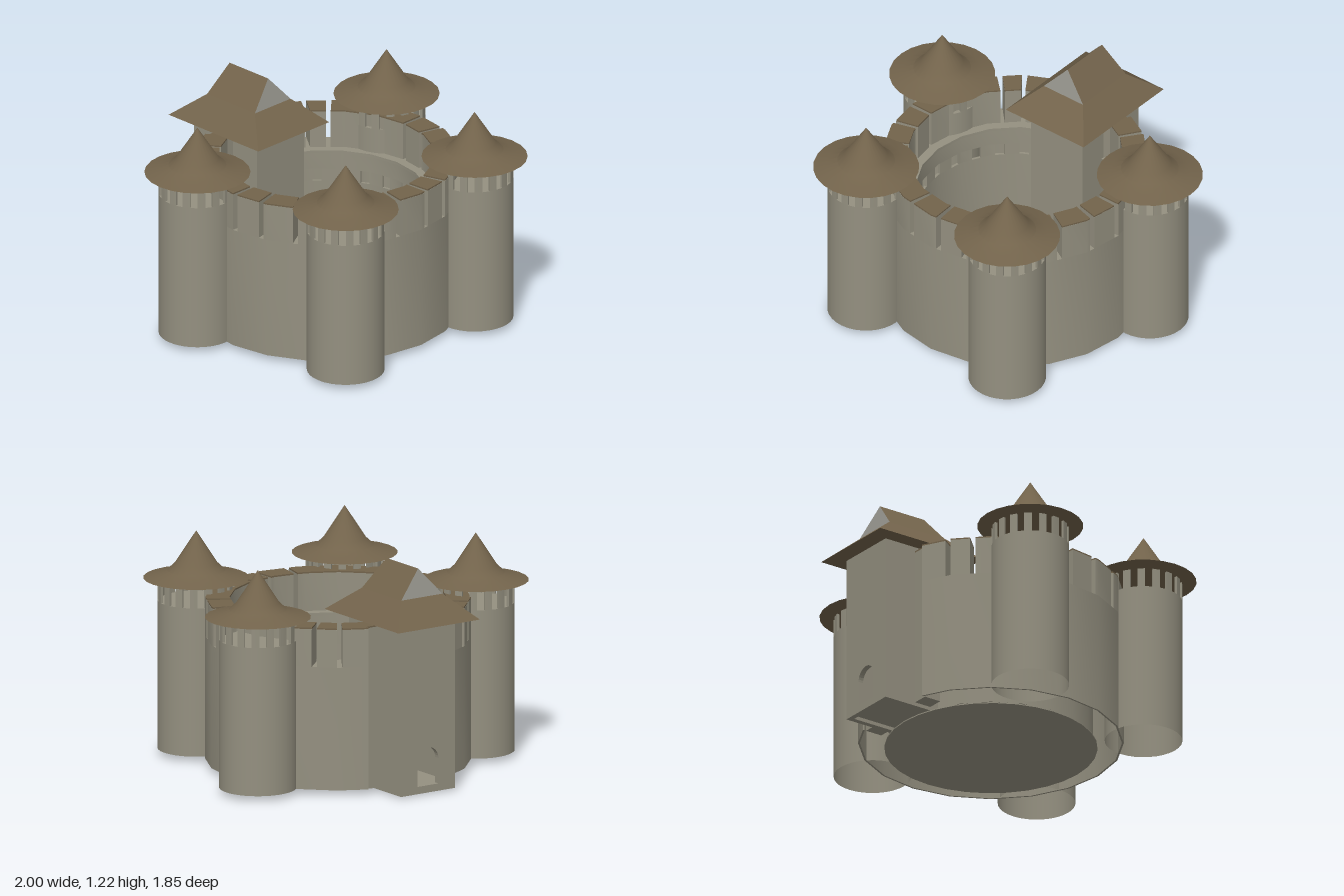
import * as THREE from 'three';
import { toCreasedNormals } from 'three/addons/utils/BufferGeometryUtils.js';

const stone = new THREE.MeshStandardMaterial({ color: 0x949080, side: THREE.DoubleSide });
const tile = new THREE.MeshStandardMaterial({ color: 0x72634b, side: THREE.DoubleSide });
const gable = new THREE.MeshStandardMaterial({ color: 0x97968e, side: THREE.DoubleSide });
const DEG = Math.PI / 180;

function add(parent, name, geometry, material) {
  const mesh = new THREE.Mesh(geometry, material);
  mesh.name = name;
  parent.add(mesh);
  return mesh;
}

// Block of a many-sided ring; angles run from +z towards +x
function ringSector(rIn, rOut, y0, y1, a0, a1, sides = 20) {
  const step = (2 * Math.PI) / sides;
  const angles = [a0];
  for (let k = Math.floor(a0 / step) + 1; k * step < a1 - 1e-4; k++) {
    if (k * step > a0 + 1e-4) angles.push(k * step);
  }
  angles.push(a1);
  const point = (r, a) => {
    const local = a - Math.floor(a / step) * step;
    const d = (r * Math.cos(step / 2)) / Math.cos(local - step / 2);
    return new THREE.Vector2(d * Math.sin(a), -d * Math.cos(a));
  };
  const outline = angles.map(a => point(rOut, a))
    .concat(angles.slice().reverse().map(a => point(rIn, a)));
  const geo = new THREE.ExtrudeGeometry(new THREE.Shape(outline),
    { depth: y1 - y0, bevelEnabled: false });
  geo.rotateX(-Math.PI / 2).translate(0, y0, 0);
  return toCreasedNormals(geo, 0.4);
}

// Hollow curtain wall with slotted parapet, wall walk and windowed inner face
function buildWall() {
  const wall = new THREE.Group();
  wall.name = 'curtainWall';
  const end = Math.PI - 0.39; // gap behind the gatehouse
  add(wall, 'outerWall', ringSector(0.7, 0.71, 0.03, 0.705, -end, end), stone);
  add(wall, 'wallWalk', ringSector(0.53, 0.705, 0.69, 0.705, -end, end), stone);

  const slots = [-145, -134, -89, -75, -59, -12.4, 3.7, 16.6, 59, 75, 89, 134, 145];
  const cuts = [-end, ...slots.flatMap(s => [(s - 1.2) * DEG, (s + 1.2) * DEG]), end];
  for (let i = 0; i < cuts.length; i += 2) {
    add(wall, 'merlon', ringSector(0.58, 0.71, 0.705, 0.912, cuts[i], cuts[i + 1]), stone);
    add(wall, 'merlonCap', ringSector(0.58, 0.709, 0.912, 0.92, cuts[i], cuts[i + 1]), tile);
  }

  // Flat stretches joining the ring to the gatehouse
  for (const side of [-1, 1]) {
    const join = new THREE.BoxGeometry(0.1, 0.882, 0.1);
    add(wall, 'gateJoin', join.translate(side * 0.217, 0.471, -0.58), stone);
    const cap = new THREE.BoxGeometry(0.1, 0.008, 0.1);
    add(wall, 'gateJoinCap', cap.translate(side * 0.217, 0.916, -0.58), tile);
  }

  add(wall, 'innerWall', ringSector(0.53, 0.545, 0.02, 0.53, -end, end), stone);
  add(wall, 'innerWallTop', ringSector(0.53, 0.545, 0.6, 0.69, -end, end), stone);
  const windows = 22, pitch = (2 * end) / windows;
  for (let i = 0; i < windows; i++) {
    const a = -end + i * pitch;
    add(wall, 'windowPier', ringSector(0.53, 0.545, 0.53, 0.6, a, a + pitch * 0.62), stone);
  }
  return wall;
}

// Round tower with an open gallery under a flared cone roof
function buildTower(x, z) {
  const tower = new THREE.Group();
  tower.name = 'tower';
  const body = new THREE.CylinderGeometry(0.208, 0.208, 0.815, 32, 1, true);
  add(tower, 'towerBody', body.translate(0, 0.4375, 0), stone);
  const deck = new THREE.CircleGeometry(0.208, 32).rotateX(-Math.PI / 2);
  add(tower, 'towerDeck', deck.translate(0, 0.845, 0), stone);
  for (let i = 0; i < 16; i++) {
    const a = (i * Math.PI) / 8;
    add(tower, 'galleryPillar', ringSector(0.194, 0.208, 0.845, 0.952, a, a + 0.2, 32), stone);
  }
  const profile = [[0, 0.948], [0.2, 0.948], [0.284, 0.966], [0.215, 0.985],
    [0.155, 1.008], [0.115, 1.045], [0, 1.224]].map(p => new THREE.Vector2(...p));
  add(tower, 'towerRoof', toCreasedNormals(new THREE.LatheGeometry(profile, 24), 0.4), tile);
  tower.position.set(x, 0, z);
  return tower;
}

// Flat-shaded surface from polygons given as corner lists
function polygons(faces) {
  const positions = [];
  for (const f of faces) {
    for (let i = 1; i < f.length - 1; i++) positions.push(...f[0], ...f[i], ...f[i + 1]);
  }
  const geo = new THREE.BufferGeometry();
  geo.setAttribute('position', new THREE.Float32BufferAttribute(positions, 3));
  geo.computeVertexNormals();
  return geo;
}

function buildGatehouse() {
  const gate = new THREE.Group();
  gate.name = 'gatehouse';
  const w = 0.178, t = 0.03, y0 = 0.01, y1 = 0.945, back = -0.825, front = -0.35;

  // End walls with arched doorways
  for (const z of [back, front - t]) {
    const shape = new THREE.Shape();
    shape.moveTo(-w, y0).lineTo(w, y0).lineTo(w, y1).lineTo(-w, y1).closePath();
    const door = new THREE.Path();
    door.moveTo(-0.068, 0.05).lineTo(-0.068, 0.19);
    door.absarc(0, 0.19, 0.068, Math.PI, 0, true);
    door.lineTo(0.068, 0.05).closePath();
    shape.holes.push(door);
    const geo = new THREE.ExtrudeGeometry(shape, { depth: t, bevelEnabled: false, curveSegments: 8 });
    add(gate, 'gateEndWall', geo.translate(0, 0, z), stone);
  }
  for (const side of [-1, 1]) {
    const geo = new THREE.BoxGeometry(t, y1 - y0, front - back - 2 * t);
    geo.translate(side * (w - t / 2), (y0 + y1) / 2, (front + back) / 2);
    add(gate, 'gateSideWall', geo, stone);
  }
  const floor = new THREE.BoxGeometry(2 * (w - t), 0.02, front - back - 2 * t);
  add(gate, 'passageFloor', floor.translate(0, 0.04, (front + back) / 2), stone);

  // Flared roof: eave rectangle, break rectangle, ridge
  const rect = (x, zb, zf, y) => [[-x, y, zf], [x, y, zf], [x, y, zb], [-x, y, zb]];
  const eave = rect(0.268, -0.926, -0.25, 0.943);
  const mid = rect(0.135, -0.768, -0.408, 1.073);
  const ridgeF = [0, 1.224, -0.443], ridgeB = [0, 1.224, -0.733];
  const faces = [eave.slice().reverse()];
  for (let i = 0; i < 4; i++) {
    const j = (i + 1) % 4;
    faces.push([eave[i], eave[j], mid[j], mid[i]]);
  }
  faces.push([mid[1], mid[2], ridgeB, ridgeF], [mid[3], mid[0], ridgeF, ridgeB]);
  add(gate, 'gateRoof', polygons(faces), tile);
  add(gate, 'gateGables', polygons([[mid[0], mid[1], ridgeF], [mid[2], mid[3], ridgeB]]), gable);
  return gate;
}

export function createModel() {
  const castle = new THREE.Group();
  castle.name = 'castle';
  castle.add(buildWall(), buildGatehouse());
  for (const [x, z] of [[-0.717, -0.262], [0.715, -0.262], [-0.503, 0.642], [0.471, 0.644]]) {
    castle.add(buildTower(x, z));
  }
  // Courtyard: base disc and a slightly tilted paved disc
  const ground = new THREE.CylinderGeometry(0.57, 0.57, 0.006, 32);
  add(castle, 'courtyardBase', ground.translate(0, 0.003, 0), stone);
  const paving = add(castle, 'courtyardPaving',
    new THREE.CircleGeometry(0.54, 32).rotateX(-Math.PI / 2), stone);
  paving.position.y = 0.015;
  paving.rotation.z = 0.015;
  return castle;
}
